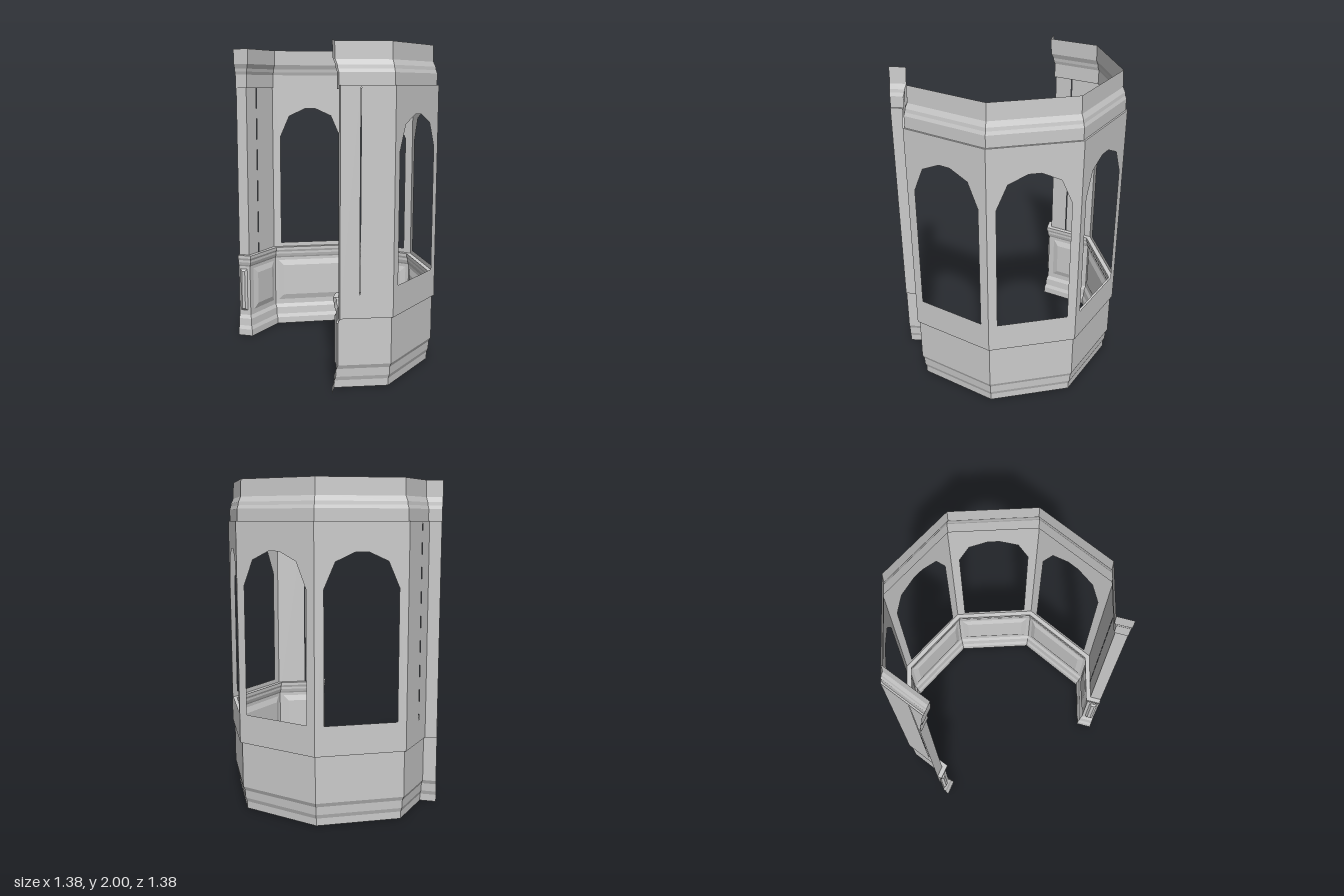
import * as THREE from 'three';

const mat = new THREE.MeshStandardMaterial({ color: 0xcccccc, flatShading: true, side: THREE.DoubleSide });

// Plan of the outer wall face (x, z); the second half mirrors the first across the diagonal
const half = [[-0.69, -0.2], [-0.617, -0.195], [-0.52, -0.49], [-0.013, -0.69]];
const plan = [...half, [0.487, -0.487], ...half.map(([x, z]) => [-z, -x]).reverse()];

const segments = plan.slice(0, -1).map(([x, z], i) => {
  const dx = plan[i + 1][0] - x, dz = plan[i + 1][1] - z, len = Math.hypot(dx, dz);
  return { x, z, len, ux: dx / len, uz: dz / len };
});

// Plan moved inward by d, with mitred corners
function inset(d) {
  return plan.map(([x, z], i) => {
    const a = segments[Math.max(i - 1, 0)], b = segments[Math.min(i, segments.length - 1)];
    const k = d / (1 + a.ux * b.ux + a.uz * b.uz);
    return [x - (a.uz + b.uz) * k, z + (a.ux + b.ux) * k];
  });
}

// Sweep a profile of [inset, height] points along the plan
function sweep(name, profile) {
  const pos = [];
  for (let j = 0; j < profile.length - 1; j++) {
    const [d0, y0] = profile[j], [d1, y1] = profile[j + 1];
    const lo = inset(d0), hi = inset(d1);
    for (let i = 0; i < plan.length - 1; i++) {
      const a = [lo[i][0], y0, lo[i][1]], b = [lo[i + 1][0], y0, lo[i + 1][1]];
      const c = [hi[i + 1][0], y1, hi[i + 1][1]], d = [hi[i][0], y1, hi[i][1]];
      pos.push(...a, ...b, ...c, ...a, ...c, ...d);
    }
  }
  const g = new THREE.BufferGeometry();
  g.setAttribute('position', new THREE.Float32BufferAttribute(pos, 3));
  g.computeVertexNormals();
  const m = new THREE.Mesh(g, mat);
  m.name = name;
  return m;
}

const path = pts => new THREE.Path(pts.map(p => new THREE.Vector2(...p)));

// Flat wall sheet with an arched window or a narrow seam
function wallSheet(len, seamAt) {
  const shape = new THREE.Shape([[0, 0.43], [len, 0.43], [len, 1.76], [0, 1.76]].map(p => new THREE.Vector2(...p)));
  if (len > 0.4) {
    const c = len / 2, w = len * 0.4;
    const arch = [[-1, 0.61], [-1, 1.39], [-0.7, 1.54], [-0.17, 1.593], [0.17, 1.593], [0.7, 1.54], [1, 1.39], [1, 0.61]];
    shape.holes.push(path(arch.map(([s, y]) => [c + s * w, y])));
  } else if (len > 0.2) {
    const s = len * seamAt, w = 0.002;
    shape.holes.push(path([[s - w, 0.57], [s - w, 1.75], [s + w, 1.75], [s + w, 0.57]]));
  }
  return new THREE.ShapeGeometry(shape);
}

// Raised wainscot panel with bevelled borders
function raisedPanel(len) {
  const margin = Math.min(0.03, len * 0.15), bevel = Math.min(0.038, len * 0.2), depth = 0.012;
  const w = len - 2 * margin, h = 0.3;
  const g = new THREE.BoxGeometry(w, h, depth).toNonIndexed();
  const p = g.attributes.position;
  for (let i = 0; i < p.count; i++) {
    if (p.getZ(i) > 0) {
      p.setX(i, p.getX(i) - Math.sign(p.getX(i)) * bevel);
      p.setY(i, p.getY(i) - Math.sign(p.getY(i)) * bevel);
    }
  }
  g.computeVertexNormals();
  return g.translate(len / 2, 0.33, 0.014 + depth / 2);
}

export function createModel() {
  const model = new THREE.Group();
  model.name = 'bayWindow';

  // Continuous mouldings
  model.add(sweep('wainscot', [
    [0.037, 0], [0.036, 0.045], [0.027, 0.07], [0.024, 0.12], [0.013, 0.145], [0.013, 0.5],
    [0.018, 0.51], [0.024, 0.53], [0.024, 0.545], [0.03, 0.56], [0.03, 0.58], [0, 0.58]]));
  model.add(sweep('cornice', [
    [0, 1.74], [0.01, 1.74], [0.01, 1.83], [0.017, 1.85], [0.02, 1.87], [0.033, 1.9], [0.037, 2]]));
  model.add(sweep('lowerLip', [[0, 0.43], [0.013, 0.43]]));
  model.add(sweep('upperLip', [[0, 1.76], [0.01, 1.76]]));

  // One wall sheet and one raised panel per side
  segments.forEach((s, i) => {
    const side = new THREE.Group();
    side.name = 'side' + (i + 1);
    side.position.set(s.x, 0, s.z);
    side.rotation.y = Math.atan2(-s.uz, s.ux);
    const wall = new THREE.Mesh(wallSheet(s.len, i < 4 ? 0.37 : 0.63), mat);
    wall.name = s.len > 0.4 ? 'windowWall' : 'plainWall';
    const panel = new THREE.Mesh(raisedPanel(s.len), mat);
    panel.name = 'wainscotPanel';
    side.add(wall, panel);
    model.add(side);
  });
  return model;
}
